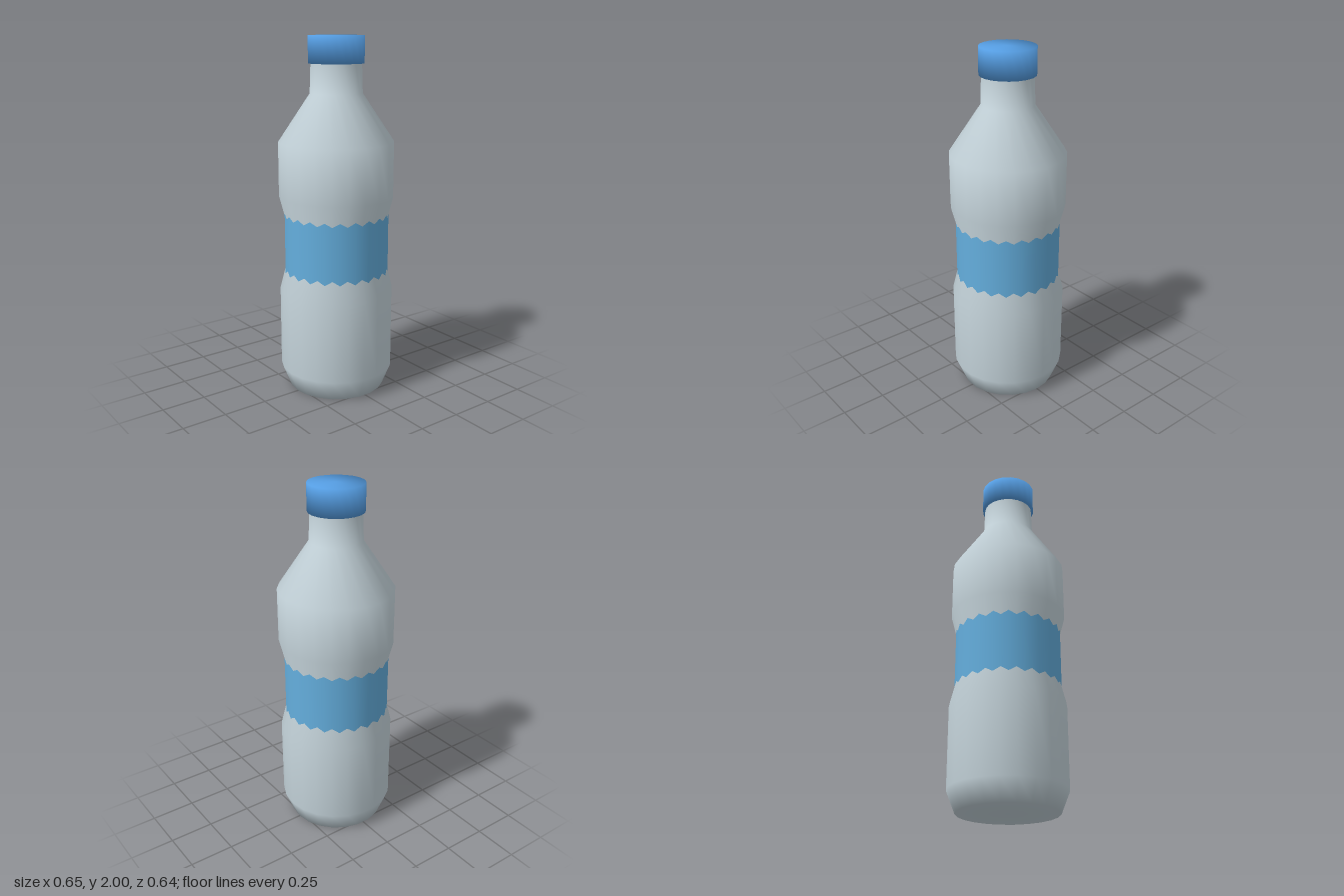
import * as THREE from 'three';

const plastic = new THREE.MeshStandardMaterial({ name: 'clear plastic grey', color: 0xc5d4db });
const labelBlue = new THREE.MeshStandardMaterial({ name: 'label light blue', color: 0x64aedd });
const capBlue = new THREE.MeshStandardMaterial({ name: 'cap blue', color: 0x559de2 });

// Smooth turned part from [radius, height] pairs, bottom to top
function turned(name, profile, sides, start, material) {
  const points = profile.map(([r, y]) => new THREE.Vector2(r, y));
  const mesh = new THREE.Mesh(new THREE.LatheGeometry(points, sides, start), material);
  mesh.name = name;
  return mesh;
}

export function createModel() {
  const bottle = new THREE.Group();
  bottle.name = 'bottle';

  // Body: chamfered base, pinched waist, sloping shoulder, narrow neck
  bottle.add(turned('body', [
    [0, 0], [0.275, 0], [0.323, 0.12],
    [0.323, 0.58], [0.284, 0.735], [0.284, 0.97], [0.323, 1.12],
    [0.323, 1.425], [0.146, 1.69], [0.14, 1.87],
  ], 22, Math.PI / 2, plastic));

  // Label: turned half a side from the body, so its ends meet the slopes in a zigzag
  bottle.add(turned('label', [[0.2955, 0.66], [0.2955, 1.045]], 22, 0, labelBlue));

  // Screw cap, closed at both ends
  bottle.add(turned('cap', [
    [0, 1.85], [0.154, 1.85], [0.154, 2], [0, 2],
  ], 20, 0, capBlue));

  return bottle;
}
